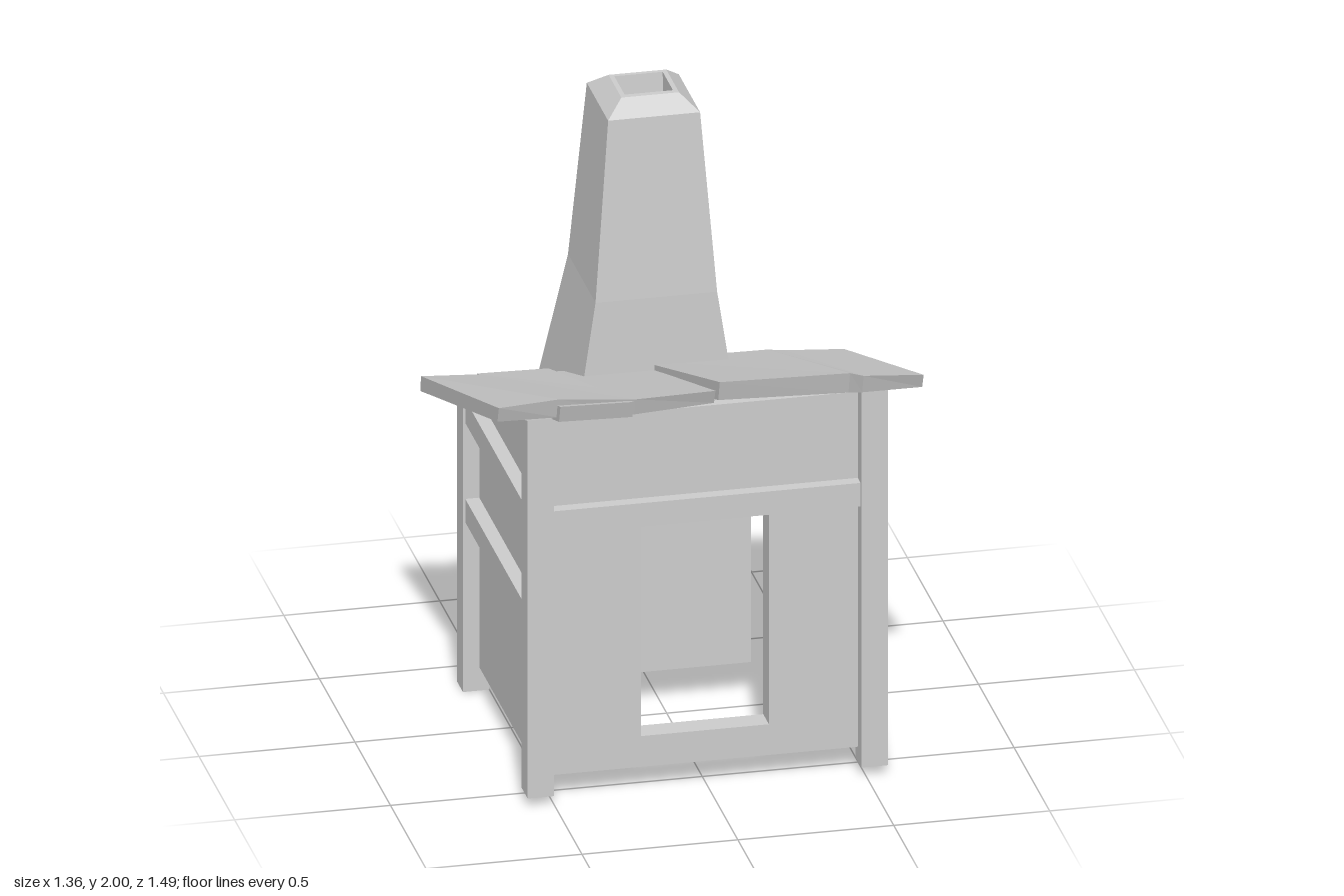
import * as THREE from 'three';

const material = new THREE.MeshStandardMaterial({ color: 0xcccccc, flatShading: true });
const CX = -0.0075; // centre line of the timber frame

function addMesh(parent, name, geometry) {
  const mesh = new THREE.Mesh(geometry, material);
  mesh.name = name;
  parent.add(mesh);
  return mesh;
}

// Box given by its minimum and maximum on each axis
function box(x0, x1, y0, y1, z0, z1) {
  return new THREE.BoxGeometry(x1 - x0, y1 - y0, z1 - z0)
    .translate((x0 + x1) / 2, (y0 + y1) / 2, (z0 + z1) / 2);
}

// Side profile in (z, y), extruded from x0 to x1
function sideProfile(points, x0, x1) {
  const shape = new THREE.Shape(points.map(([z, y]) => new THREE.Vector2(z, y)));
  return new THREE.ExtrudeGeometry(shape, { depth: x1 - x0, bevelEnabled: false })
    .rotateY(-Math.PI / 2)
    .translate(x1, 0, 0);
}

// Capped skin over a row of four-cornered rings
function loft(rings) {
  const pos = [];
  const quad = (a, b, c, d) => pos.push(...a, ...b, ...c, ...a, ...c, ...d);
  for (let i = 0; i < rings.length - 1; i++) {
    for (let j = 0; j < 4; j++) {
      const k = (j + 1) % 4;
      quad(rings[i][j], rings[i][k], rings[i + 1][k], rings[i + 1][j]);
    }
  }
  const [a, b, c, d] = rings[0];
  quad(d, c, b, a);
  quad(...rings[rings.length - 1]);
  const geometry = new THREE.BufferGeometry();
  geometry.setAttribute('position', new THREE.Float32BufferAttribute(pos, 3));
  geometry.computeVertexNormals();
  return geometry;
}

// Roof slab from stations [x, front z, front top y, back z, back top y, thickness]
function slab(stations) {
  return loft(stations.map(([x, zf, yf, zb, yb, t]) => [
    [x, yf - t, zf - 0.02],
    [x, yb - t, zb - 0.01],
    [x, yb, zb],
    [x, yf, zf],
  ]));
}

// Height of the roof underside at depth z
const roofY = (z) => 0.955 + 0.357 * (z + 0.39);

export function createModel() {
  const model = new THREE.Group();

  // Corner posts, side walls and side rails, repeated on both sides
  for (const [s, side] of [[1, 'left'], [-1, 'right']]) {
    const span = (inner, outer) => [CX + s * inner, CX + s * outer].sort((a, b) => a - b);

    for (const [name, z0, z1, bottom] of [['FrontPost', 0.525, 0.61, 0.03], ['BackPost', -0.385, -0.3, 0]]) {
      const outline = [[z0, bottom], [z1, bottom], [z1, roofY(z1) + 0.01], [z0, roofY(z0) + 0.01]];
      addMesh(model, side + name, sideProfile(outline, ...span(0.493, 0.5775)));
    }

    const wall = [[-0.34, 0.08], [0.56, 0.08], [0.56, roofY(0.56) + 0.01], [-0.34, roofY(-0.34) + 0.01]];
    addMesh(model, side + 'Wall', sideProfile(wall, ...span(0.46, 0.525)));

    addMesh(model, side + 'LowerRail', box(...span(0.51, 0.57), 0.58, 0.66, -0.3, 0.525));
    const upper = [[-0.3, 0.92], [0.525, 0.92], [0.525, 1.0], [-0.265, 1.0], [-0.3, 0.985]];
    addMesh(model, side + 'UpperRail', sideProfile(upper, ...span(0.51, 0.57)));
  }

  // Front wall with doorway
  const front = new THREE.Shape([[-0.51, 0.08], [0.49, 0.08], [0.49, 1.295], [-0.51, 1.295]]
    .map((p) => new THREE.Vector2(...p)));
  front.holes.push(new THREE.Path([[-0.21, 0.185], [-0.21, 1.0], [0.2, 1.0], [0.2, 0.185]]
    .map((p) => new THREE.Vector2(...p))));
  addMesh(model, 'frontWall',
    new THREE.ExtrudeGeometry(front, { depth: 0.08, bevelEnabled: false }).translate(0, 0, 0.48));
  addMesh(model, 'frontRail', box(-0.505, 0.485, 0.92, 1.0, 0.545, 0.6));

  // Back wall, a single outward face
  addMesh(model, 'backWall',
    new THREE.PlaneGeometry(1.0, 0.9).rotateY(Math.PI).translate(CX, 0.53, -0.34));

  // Warped roof in two slabs that meet at a small step
  const roof = new THREE.Group();
  roof.name = 'roof';
  model.add(roof);
  addMesh(roof, 'rightRoofSlab', slab([
    [-0.69, 0.665, 1.4, -0.43, 1.035, 0.055],
    [-0.5, 0.685, 1.42, -0.425, 1.025, 0.07],
    [-0.26, 0.705, 1.405, -0.405, 1.02, 0.06],
    [0.0, 0.685, 1.4, -0.4, 1.02, 0.05],
  ]));
  addMesh(roof, 'leftRoofSlab', slab([
    [0.0, 0.7, 1.435, -0.4, 1.035, 0.07],
    [0.42, 0.69, 1.42, -0.4, 1.03, 0.075],
    [0.47, 0.665, 1.395, -0.395, 1.025, 0.065],
    [0.665, 0.655, 1.375, -0.395, 1.01, 0.05],
  ]).applyMatrix4(new THREE.Matrix4().makeShear(0, 0, 0, 0, 0.015, 0)));
  addMesh(roof, 'loosePlank', slab([
    [-0.505, 0.72, 1.41, -0.455, 1.015, 0.06],
    [-0.275, 0.745, 1.415, -0.455, 1.01, 0.06],
  ]));

  // Tapering chimney with a chamfered rim and a flue: [y, x0, x1, z0, z1]
  const chimney = [
    [0.08, -0.295, 0.305, -0.745, -0.15],
    [0.66, -0.295, 0.305, -0.735, -0.155],
    [1.35, -0.19, 0.2, -0.555, -0.168],
    [1.95, -0.14, 0.155, -0.51, -0.21],
    [2.0, -0.085, 0.1, -0.445, -0.265],
    [2.0, -0.07, 0.085, -0.43, -0.285],
    [1.9, -0.07, 0.085, -0.42, -0.295],
  ];
  addMesh(model, 'chimney', loft(chimney.map(([y, x0, x1, z0, z1]) => [
    [x0, y, z1], [x1, y, z1], [x1, y, z0], [x0, y, z0],
  ])));

  return model;
}
